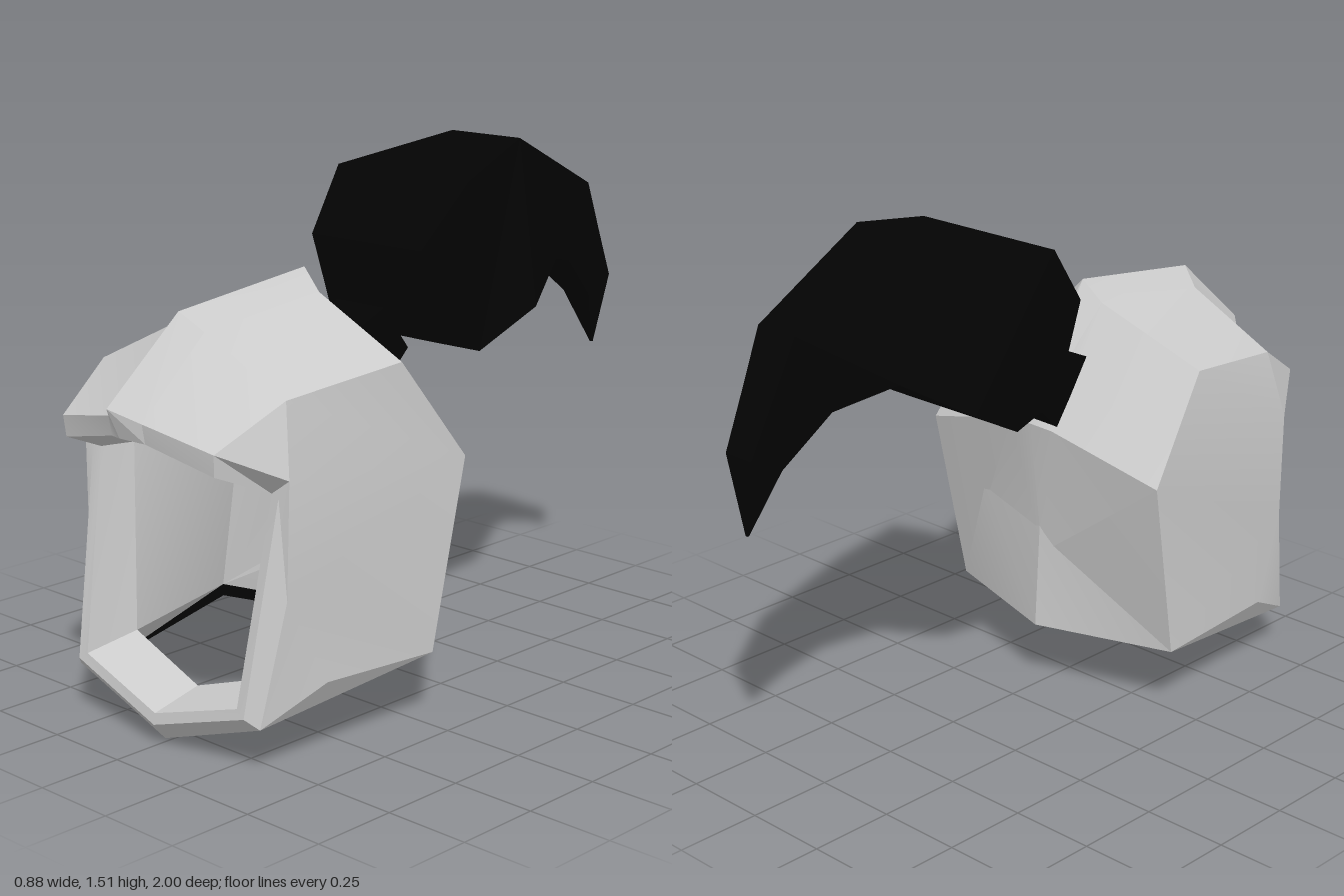
import * as THREE from 'three';
import { toCreasedNormals } from 'three/addons/utils/BufferGeometryUtils.js';

const steel = new THREE.MeshStandardMaterial({ color: 0xcccccc, side: THREE.DoubleSide });
const black = new THREE.MeshStandardMaterial({ color: 0x030303, side: THREE.DoubleSide });

// Corner points of the left half of the helmet
const P = {
  // roof ridge, its shoulder, and the side corner
  R0: [0, 1.225, 0.29], R0s: [0.065, 1.165, 0.30], A: [0.405, 1.03, 0.335],
  R1: [0, 1.17, 0.75], R1s: [0.065, 1.12, 0.72], B: [0.355, 0.985, 0.71],
  // brow peak: upper edge, lower edge, inner edge
  V0: [0, 0.955, 1.0], V0s: [0.065, 0.915, 0.94], V1: [0.295, 0.87, 0.905],
  L0: [0, 0.87, 0.96], L0s: [0.065, 0.86, 0.93], L1: [0.29, 0.81, 0.90],
  U0: [0, 0.85, 0.75], UM: [0.26, 0.8, 0.75], U1: [0.335, 0.745, 0.745],
  // back and side
  K: [0, 0.84, 0.07], Ks: [0.08, 0.835, 0.075], N: [0, 0.42, 0.125], M: [0, 0.195, 0.096],
  C: [0.44, 0.74, 0.12], D: [0.42, 0.2, 0.225],
  E: [0.40, 0.79, 0.745], G: [0.393, 0.47, 0.75], H: [0.418, 0.225, 0.63], F: [0.36, 0.13, 0.82],
  // rim of the face opening and chin
  P1: [0.365, 0.74, 0.75], P2: [0.33, 0.16, 0.85], P0: [0, 0.06, 0.87], S0: [0, 0.01, 0.83],
  Q2: [0.30, 0.18, 0.845], Q0: [0, 0.092, 0.865],
  I1: [0.32, 0.74, 0.64], I2: [0.27, 0.215, 0.69], I0: [0, 0.127, 0.71],
  // inner wall and inner edge of the bottom rim
  iR0: [0, 1.13, 0.34], iA: [0.355, 0.97, 0.37], iK: [0, 0.81, 0.13],
  iC: [0.39, 0.72, 0.17], iD: [0.37, 0.188, 0.27], iM: [0, 0.186, 0.155],
  iF: [0.32, 0.12, 0.765], iS0: [0, 0, 0.75],
};

// Triangles and quads to a geometry without shared vertices
function facesToGeometry(faces) {
  const pos = [];
  for (const f of faces)
    for (let i = 1; i < f.length - 1; i++) pos.push(...f[0], ...f[i], ...f[i + 1]);
  const g = new THREE.BufferGeometry();
  g.setAttribute('position', new THREE.Float32BufferAttribute(pos, 3));
  g.computeVertexNormals();
  return g;
}

// Named half faces, mirrored across x = 0
function mirroredPart(name, list, material) {
  const half = list.split(', ').map(f => f.split(' ').map(k => P[k]));
  const other = half.map(f => f.map(([x, y, z]) => [-x, y, z]).reverse());
  const mesh = new THREE.Mesh(toCreasedNormals(facesToGeometry([...half, ...other]), 0.35), material);
  mesh.name = name;
  return mesh;
}

// Chain of rectangular sections: [top z, top y, half width, bottom z, bottom y, half width]
function loft(sections) {
  const rings = sections.map(([tz, ty, tw, bz, by, bw]) =>
    [[tw, ty, tz], [-tw, ty, tz], [-bw, by, bz], [bw, by, bz]]);
  const faces = [rings[0], [...rings[rings.length - 1]].reverse()];
  for (let i = 0; i < rings.length - 1; i++)
    for (let k = 0; k < 4; k++) {
      const n = (k + 1) % 4;
      faces.push([rings[i][k], rings[i + 1][k], rings[i + 1][n], rings[i][n]]);
    }
  return facesToGeometry(faces);
}

export function createModel() {
  const model = new THREE.Group();
  model.name = 'plumedHelmet';

  const helmet = new THREE.Group();
  helmet.name = 'helmet';
  helmet.add(
    mirroredPart('dome', 'R0 R1 R1s R0s, R0s R1s B A, R0 R0s Ks K, R0s A C Ks', steel),
    mirroredPart('browPeak', 'R1 V0 V0s R1s, R1s V0s V1 B, B V1 E, V0 L0 L0s V0s, ' +
      'V0s L0s L1 V1, V1 L1 U1 E, U0 UM L1 L0s, UM U1 L1, U0 L0s L0, UM I1 U1', steel),
    mirroredPart('sideAndBackWall', 'C A B E, C E G, C G D, G H D, G F H, H F D, ' +
      'K Ks N, Ks C D N, N D M', steel),
    mirroredPart('faceRim', 'P1 P2 F G, P1 G E, E U1 P1, P1 U1 Q2 P2, P2 Q2 Q0 P0, ' +
      'U1 I1 I2 Q2, Q2 I2 I0 Q0, P2 P0 S0 F', steel),
    mirroredPart('innerWall', 'iC D iF I2, iC I2 I1 iA, iF iS0 I0 I2, M D iC iK, ' +
      'iK iC iA iR0, iA I1 UM U0 iR0', steel),
    mirroredPart('bottomRim', 'S0 iS0 iF F, F iF iD D, D iD iM M', black),
  );
  model.add(helmet);

  // Short block holding the plume
  const holder = new THREE.Mesh(loft([
    [0.21, 1.03, 0.09, 0.09, 0.845, 0.09],
    [0.07, 1.09, 0.09, -0.03, 0.96, 0.09],
  ]), black);
  holder.name = 'plumeHolder';

  // Plume sweeping back and curling down to a point
  const plume = new THREE.Mesh(loft([
    [0.05, 1.26, 0.21, -0.03, 0.99, 0.20],
    [-0.10, 1.44, 0.25, -0.20, 0.94, 0.21],
    [-0.46, 1.515, 0.13, -0.40, 1.045, 0.25],
    [-0.86, 1.335, 0.07, -0.57, 1.15, 0.14],
    [-0.93, 1.18, 0.06, -0.755, 1.11, 0.085],
    [-1.0, 1.03, 0.05, -0.90, 0.98, 0.05],
    [-0.985, 0.81, 0.004, -0.98, 0.81, 0.004],
  ]), black);
  plume.name = 'plume';
  model.add(holder, plume);
  return model;
}
